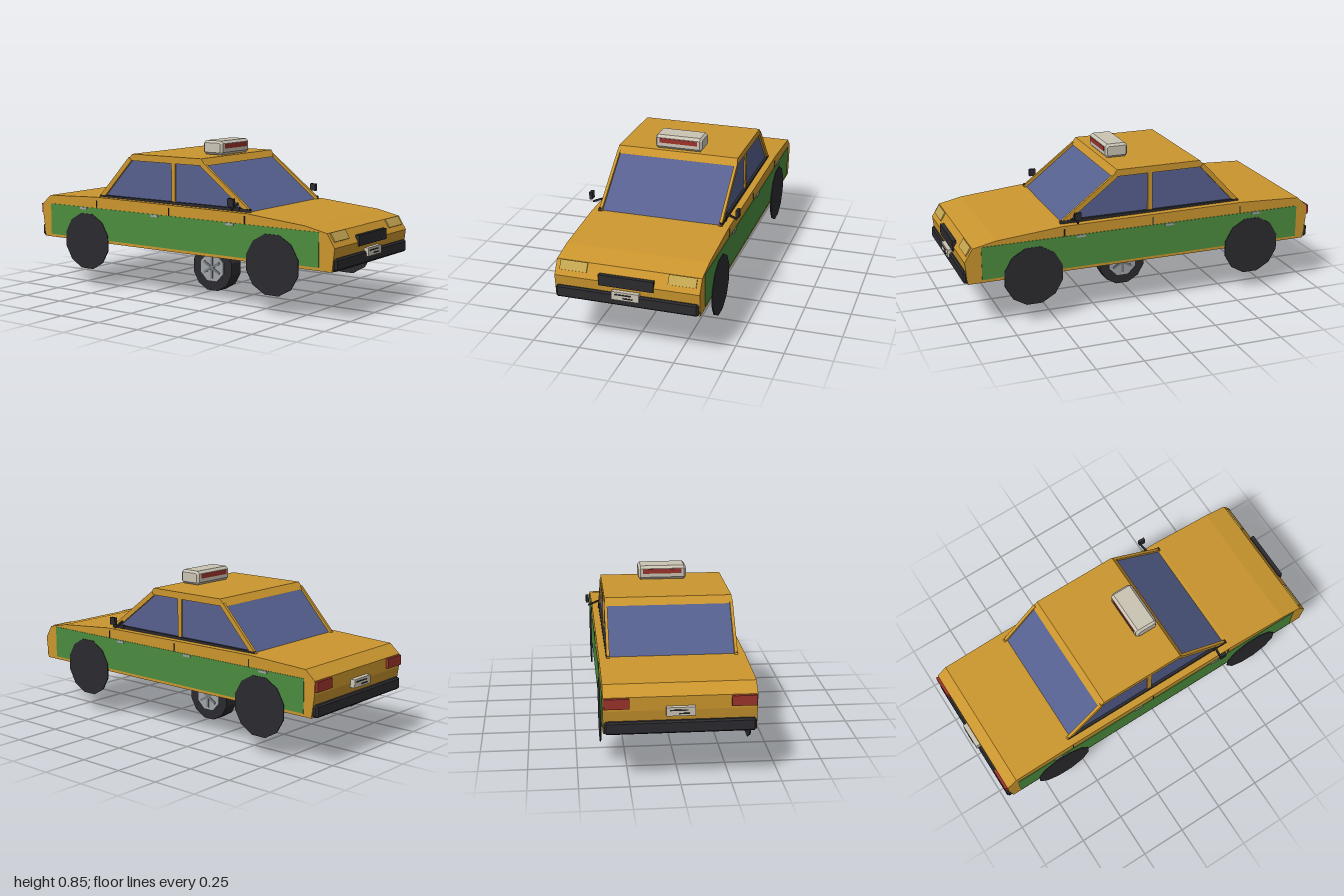
import * as THREE from 'three';

const mat = (color) => new THREE.MeshStandardMaterial({ color, flatShading: true });
const AMBER = mat(0xcb962e), GREEN = mat(0x4c8c3f), GLASS = mat(0x56608f), DARK = mat(0x2b2b2f);
const CREAM = mat(0xcac4b4), RED = mat(0x9c322c), LAMP = mat(0xc4a650), SILVER = mat(0xa0a4a8), STEEL = mat(0x74787c);

export function createModel() {
  const root = new THREE.Group();

  const add = (name, geo, material, x = 0, y = 0, z = 0, parent = root) => {
    const m = new THREE.Mesh(geo, material);
    m.name = name;
    m.position.set(x, y, z);
    parent.add(m);
    return m;
  };
  const box = (name, material, w, h, d, x, y, z, parent) =>
    add(name, new THREE.BoxGeometry(w, h, d), material, x, y, z, parent);

  // Side profile of [z, y] points, extruded across the width
  const profile = (pts, width, bevel = 0) => {
    const shape = new THREE.Shape(pts.map(([z, y]) => new THREE.Vector2(z, y)));
    const depth = width - 2 * bevel;
    const g = new THREE.ExtrudeGeometry(shape, {
      depth, bevelEnabled: bevel > 0, bevelSize: bevel, bevelThickness: bevel,
      bevelOffset: -bevel, bevelSegments: 1,
    });
    return g.translate(0, 0, -depth / 2).rotateY(-Math.PI / 2);
  };
  // Octagonal profile: a rectangle with cut corners
  const cutRect = (d, h, c) => {
    const a = d / 2, b = h / 2;
    return [[a, -b + c], [a, b - c], [a - c, b], [-a + c, b], [-a, b - c], [-a, -b + c], [-a + c, -b], [a - c, -b]];
  };
  // Box laid along a line from (z, y) to (z, y)
  const slantBar = (name, material, x, w, thick, [z0, y0], [z1, y1]) => {
    const m = box(name, material, w, thick, Math.hypot(z1 - z0, y1 - y0), x, (y0 + y1) / 2, (z0 + z1) / 2);
    m.rotation.x = -Math.atan2(y1 - y0, z1 - z0);
    return m;
  };

  // Lower body
  add('body', profile([
    [0.965, 0.265], [0.978, 0.385], [0.935, 0.455], [0.81, 0.482], [0.46, 0.513], [-0.565, 0.52],
    [-0.915, 0.505], [-0.972, 0.455], [-0.972, 0.385], [-0.955, 0.265],
  ], 0.752), AMBER);

  // Cabin glass and roof
  add('cabinGlass', profile([[0.452, 0.505], [0.15, 0.738], [-0.355, 0.738], [-0.565, 0.505]], 0.65), GLASS);
  add('roof', profile([[0.165, 0.735], [0.14, 0.772], [-0.333, 0.772], [-0.365, 0.735]], 0.668), AMBER);

  for (const s of [1, -1]) {
    const side = s > 0 ? 'left' : 'right';

    // Window pillars and belt trim
    slantBar(side + 'FrontPillar', AMBER, s * 0.329, 0.016, 0.026, [0.45, 0.51], [0.145, 0.742]);
    slantBar(side + 'RearPillar', AMBER, s * 0.329, 0.016, 0.026, [-0.562, 0.512], [-0.345, 0.745]);
    box(side + 'MiddlePillar', AMBER, 0.014, 0.23, 0.026, s * 0.326, 0.625, -0.048);
    box(side + 'BeltTrim', DARK, 0.014, 0.022, 1.02, s * 0.332, 0.519, -0.055);

    // Green flank panel
    box(side + 'FlankPanel', GREEN, 0.006, 0.177, 1.798, s * 0.376, 0.3695, -0.009);

    // Flat wheel discs
    for (const [end, z] of [['Front', 0.617], ['Rear', -0.632]]) {
      const g = new THREE.CylinderGeometry(0.162, 0.162, 0.006, 12).rotateY(Math.PI / 12).rotateZ(Math.PI / 2);
      add(side + end + 'WheelDisc', g, DARK, s * 0.379, 0.265, z);
    }

    // Door seams and handles
    for (const z of [0.445, -0.047, -0.56]) box(side + 'DoorSeam', DARK, 0.006, 0.044, 0.006, s * 0.3755, 0.478, z);
    for (const z of [0.355, -0.142, -0.655]) box(side + 'DoorHandle', SILVER, 0.01, 0.012, 0.05, s * 0.378, 0.45, z);

    // Wing mirror on its arm
    box(side + 'MirrorHead', DARK, 0.017, 0.04, 0.036, s * 0.404, 0.568, 0.382);
    const arm = box(side + 'MirrorArm', DARK, 0.066, 0.009, 0.01, s * 0.368, 0.542, 0.378);
    arm.rotation.z = -s * 0.4;
    box(side + 'MirrorMount', DARK, 0.012, 0.024, 0.02, s * 0.336, 0.522, 0.378);

    // Head lamps on the sloping nose, tail lamps on the back
    const lamp = box(side + 'HeadLamp', LAMP, 0.143, 0.05, 0.01, s * 0.282, 0.433, 0.95);
    lamp.rotation.x = -0.55;
    box(side + 'TailLamp', RED, 0.122, 0.052, 0.02, s * 0.31, 0.426, -0.977);
  }

  // Grille
  box('grille', DARK, 0.285, 0.057, 0.022, 0, 0.3935, 0.974);

  // Bumpers and number plates
  for (const [end, s, plateY] of [['front', 1, 0.326], ['rear', -1, 0.384]]) {
    add(end + 'Bumper', profile(cutRect(0.036, 0.064, 0.008), 0.742, 0.01), DARK, 0, 0.3, s * 0.968);
    const plate = new THREE.Group();
    plate.name = end + 'Plate';
    root.add(plate);
    const inner = s > 0 ? 0.972 : 0.955;
    box('plateBoard', CREAM, 0.142, 0.044, 0.997 - inner, 0, plateY, s * (0.997 + inner) / 2, plate);
    box('plateStripe', DARK, 0.088, 0.006, 0.006, -s * 0.01, plateY + 0.008, s * 0.997, plate);
    box('plateStripe', DARK, 0.052, 0.006, 0.006, s * 0.015, plateY - 0.009, s * 0.997, plate);
  }

  // Roof sign with a red band on both faces
  add('roofSign', profile(cutRect(0.128, 0.076, 0.014), 0.262, 0.012), CREAM, 0, 0.812, 0.064);
  for (const s of [1, -1]) box('signBand', RED, 0.21, 0.025, 0.006, 0, 0.821, 0.064 + s * 0.0635);

  // Single wheel below the middle of the car
  const wheel = new THREE.Group();
  wheel.name = 'wheel';
  wheel.position.set(0, 0.132, 0);
  root.add(wheel);
  const disc = (name, r, w, n, material) =>
    add(name, new THREE.CylinderGeometry(r, r, w, n).rotateY(Math.PI / n).rotateZ(Math.PI / 2), material, 0, 0, 0, wheel);
  disc('tyre', 0.135, 0.086, 12, DARK);
  disc('rim', 0.084, 0.1, 8, SILVER);
  for (const s of [1, -1]) {
    for (let i = 0; i < 6; i++) {
      const a = (i * Math.PI) / 3;
      const spoke = box('spoke', STEEL, 0.008, 0.056, 0.014, s * 0.05, Math.cos(a) * 0.034, Math.sin(a) * 0.034, wheel);
      spoke.rotation.x = a;
    }
  }
  disc('hub', 0.016, 0.108, 6, STEEL);

  return root;
}
